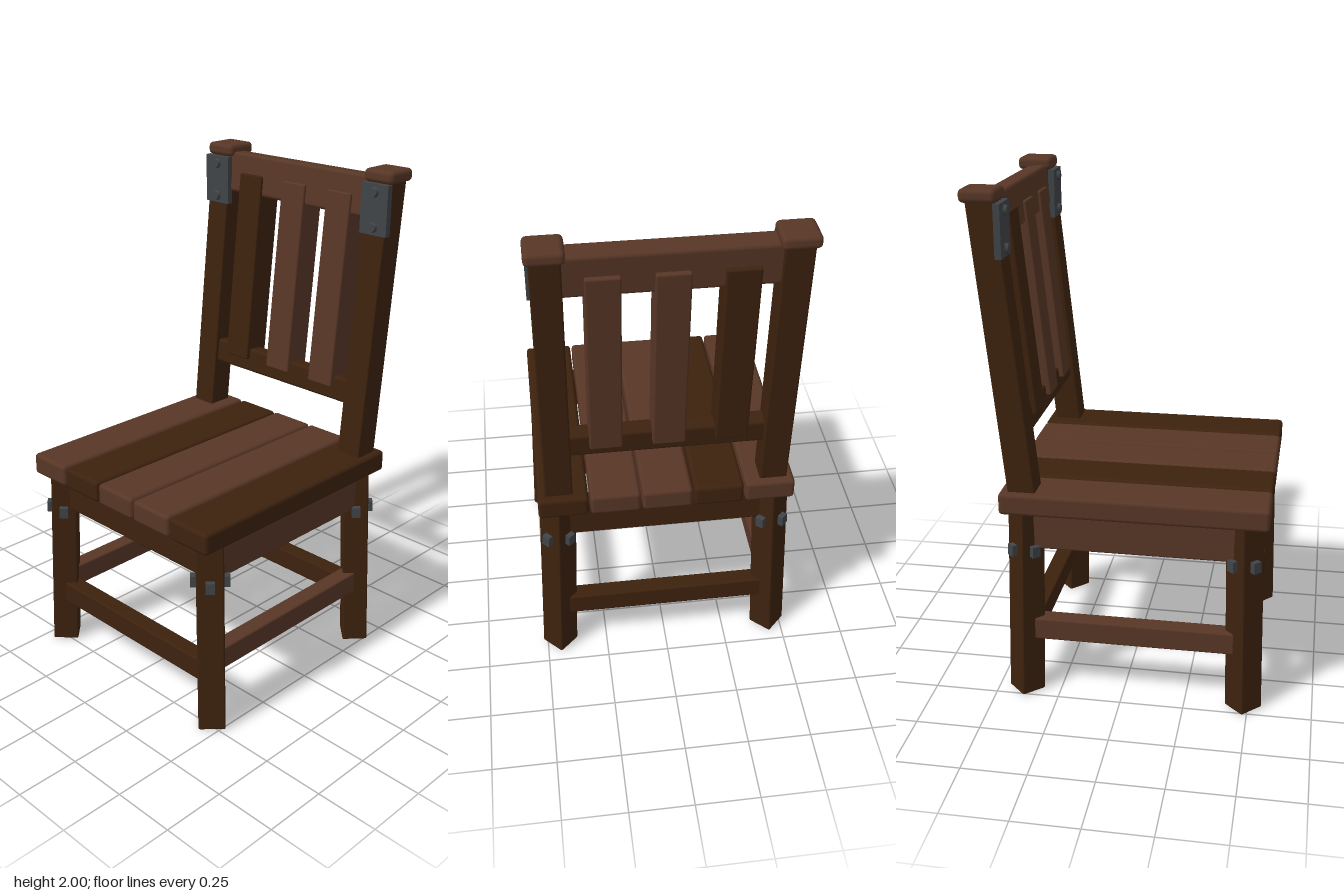
import * as THREE from 'three';
import { RoundedBoxGeometry } from 'three/addons/geometries/RoundedBoxGeometry.js';

export function createModel() {
  const darkWood = new THREE.MeshStandardMaterial({ name: 'darkWood', color: 0x3d220e });
  const lightWood = new THREE.MeshStandardMaterial({ name: 'lightWood', color: 0x573626 });
  const iron = new THREE.MeshStandardMaterial({ name: 'iron', color: 0x404448 });

  const chair = new THREE.Group();
  chair.name = 'chair';

  function add(parent, name, geometry, material, x, y, z) {
    const mesh = new THREE.Mesh(geometry, material);
    mesh.name = name;
    mesh.position.set(x, y, z);
    parent.add(mesh);
    return mesh;
  }
  // Timber with softened edges
  const timber = (w, h, d, r = 0.007) => new RoundedBoxGeometry(w, h, d, 2, r);

  // Seat planks
  [lightWood, darkWood, lightWood, lightWood, darkWood].forEach((material, i) =>
    add(chair, 'seatPlank', timber(0.193, 0.087, 1.025, 0.015), material, (i - 2) * 0.2, 0.8225, 0.0475));

  // Splayed legs, turned so that a corner faces forward, with bolts on all four faces
  const up = new THREE.Vector3(0, 1, 0);
  for (const side of [-1, 1]) {
    for (const [end, footZ, topZ] of [['front', 0.482, 0.466], ['back', -0.387, -0.373]]) {
      const foot = new THREE.Vector3(side * 0.446, 0.003, footZ);
      const top = new THREE.Vector3(side * 0.42, 0.785, topZ);
      const axis = top.clone().sub(foot);
      const leg = new THREE.Group();
      leg.name = end + 'Leg';
      leg.position.copy(foot);
      leg.quaternion.setFromUnitVectors(up, axis.clone().normalize());
      chair.add(leg);
      const length = axis.length();
      add(leg, 'legPost', timber(0.104, length, 0.104), darkWood, 0, length / 2, 0).rotation.y = Math.PI / 4;
      for (let k = 0; k < 4; k++) {
        const a = Math.PI / 4 + k * Math.PI / 2;
        add(leg, 'legBolt', new THREE.BoxGeometry(0.034, 0.044, 0.034), iron,
          Math.sin(a) * 0.057, 0.62, Math.cos(a) * 0.057).rotation.y = a;
      }
    }
    // Side apron and side stretcher
    add(chair, 'sideApron', timber(0.07, 0.15, 0.84), lightWood, side * 0.423, 0.706, 0.047);
    add(chair, 'sideStretcher', timber(0.07, 0.09, 0.86), lightWood, side * 0.435, 0.285, 0.047);
  }

  // Front and back aprons and stretchers
  for (const [end, apronZ, stretcherZ] of [['front', 0.452, 0.477], ['back', -0.367, -0.382]]) {
    add(chair, end + 'Apron', timber(0.84, 0.15, 0.07), darkWood, 0, 0.706, apronZ);
    add(chair, end + 'Stretcher', timber(0.87, 0.09, 0.07), darkWood, 0, 0.235, stretcherZ);
  }

  // Leaning backrest; heights below are measured up from the seat
  const baseY = 0.8;
  const lean = 0.101;
  const back = new THREE.Group();
  back.name = 'backrest';
  back.position.set(0, baseY, -0.373);
  back.rotation.x = -lean;
  chair.add(back);
  const along = y => (y - baseY) / Math.cos(lean);

  for (const side of [-1, 1]) {
    add(back, 'backPost', timber(0.106, along(1.96), 0.106), darkWood, side * 0.415, along(1.96) / 2, 0);
  }
  add(back, 'topRail', timber(0.76, 0.165, 0.086, 0.015), lightWood, 0, along(1.886), 0);
  add(back, 'lowerRail', timber(0.76, 0.1, 0.07, 0.012), darkWood, 0, along(1.108), 0);
  [darkWood, lightWood, lightWood].forEach((material, i) =>
    add(back, 'backSlat', timber(0.121, 0.78, 0.116), material, (i - 1) * 0.233 - 0.002, along(1.5), -0.003));

  // Post caps and riveted corner plates
  for (const side of [-1, 1]) {
    add(chair, 'postCap', timber(0.136, 0.05, 0.137, 0.018), lightWood, side * 0.4155, 1.975, -0.4955);
    add(chair, 'cornerPlate', new THREE.BoxGeometry(0.126, 0.195, 0.025), iron, side * 0.4155, 1.853, -0.427);
    for (const y of [1.785, 1.92]) {
      const rivet = add(chair, 'rivet', new THREE.CylinderGeometry(0.017, 0.021, 0.014, 12), iron,
        side * 0.4155, y, -0.409);
      rivet.rotation.x = Math.PI / 2;
    }
  }
  return chair;
}
